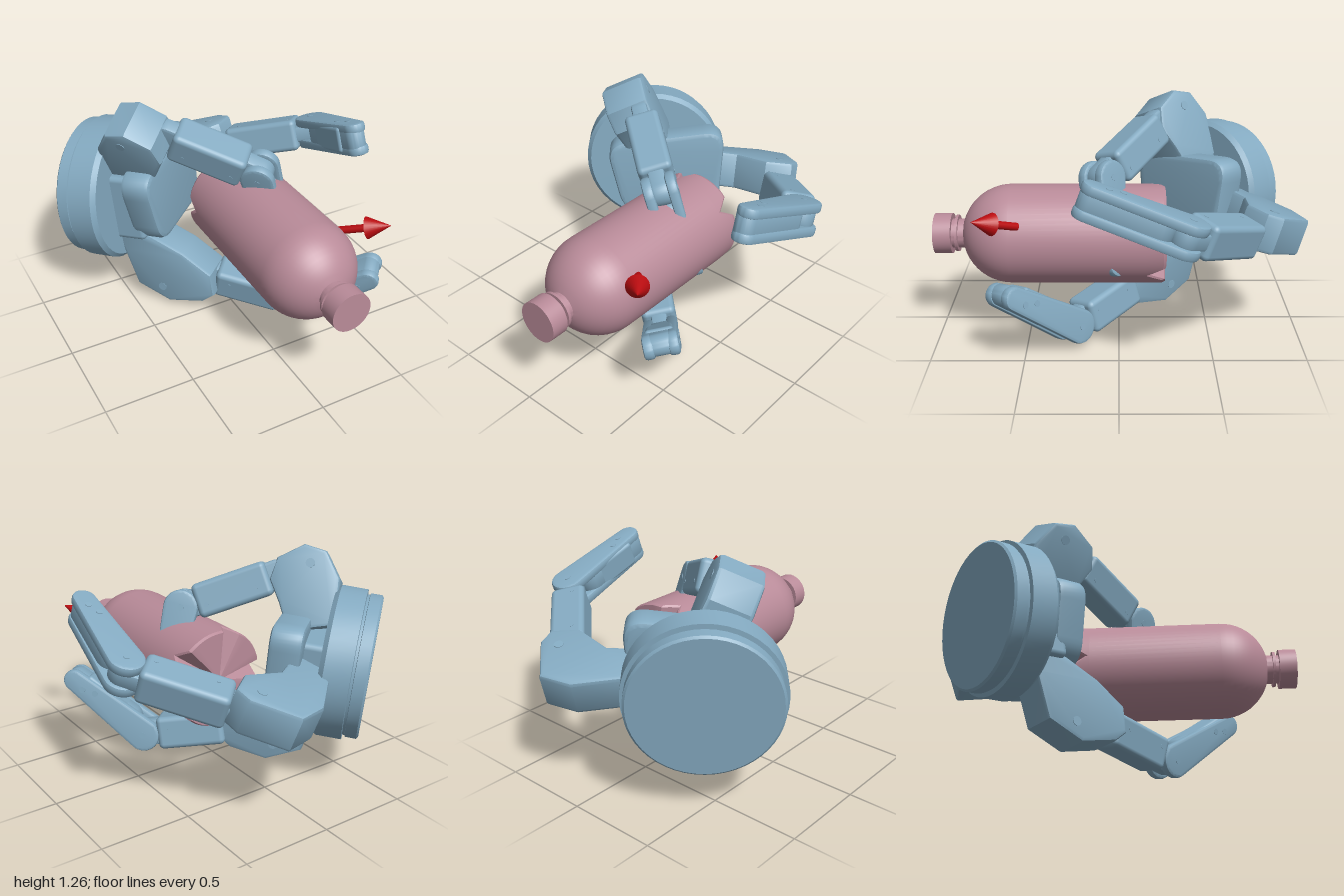
import * as THREE from 'three';
import { toCreasedNormals } from 'three/addons/utils/BufferGeometryUtils.js';
import { RoundedBoxGeometry } from 'three/addons/geometries/RoundedBoxGeometry.js';

const blue = new THREE.MeshStandardMaterial({ color: 0x84aac1 });
const pink = new THREE.MeshStandardMaterial({ color: 0xb98b99 });
const red = new THREE.MeshStandardMaterial({ color: 0xbb0c10 });
const V = (x, y, z) => new THREE.Vector3(x, y, z);
const pts = (list) => list.map(([x, y]) => new THREE.Vector2(x, y));

function add(parent, name, geometry, material = blue) {
  const mesh = new THREE.Mesh(geometry, material);
  mesh.name = name;
  parent.add(mesh);
  return mesh;
}

// Bevelled slab of a flat shape, centred on z = 0
function slab(shape, width, bevel = 0.015) {
  const g = new THREE.ExtrudeGeometry(shape, {
    depth: width - 2 * bevel, bevelThickness: bevel, bevelSize: bevel,
    bevelOffset: -bevel, bevelSegments: 2, curveSegments: 10,
  });
  g.translate(0, 0, -width / 2 + bevel);
  return toCreasedNormals(g, 0.5);
}

// Outline around two circles of radius r1 and r2, a distance apart on x
function taperShape(length, r1, r2) {
  const s = new THREE.Shape();
  const a = Math.acos((r1 - r2) / length);
  s.absarc(0, 0, r1, a, 2 * Math.PI - a, false);
  s.absarc(length, 0, r2, -a, a, false);
  return s;
}

// Closed outline through corner points, each corner rounded off
function roundedShape(corners, radius) {
  const c = pts(corners);
  const s = new THREE.Shape();
  c.forEach((p, i) => {
    const toward = (q) => p.clone().add(q.clone().sub(p).setLength(radius));
    const a = toward(c[(i + c.length - 1) % c.length]);
    const b = toward(c[(i + 1) % c.length]);
    if (i === 0) s.moveTo(a.x, a.y);
    else s.lineTo(a.x, a.y);
    s.quadraticCurveTo(p.x, p.y, b.x, b.y);
  });
  return s;
}

function pin(parent, name, x, y, r, width) {
  const g = new THREE.CylinderGeometry(r, r, width, 16);
  g.rotateX(Math.PI / 2);
  add(parent, name, g).position.set(x, y, 0);
}

// Group at p whose x axis points to q and whose z axis is the hinge axis
function linkGroup(name, p, q, hinge) {
  const g = new THREE.Group();
  g.name = name;
  const x = q.clone().sub(p).normalize();
  g.quaternion.setFromRotationMatrix(
    new THREE.Matrix4().makeBasis(x, hinge.clone().cross(x), hinge));
  g.position.copy(p);
  return g;
}

// Middle and tip links of a finger; +y of each link faces the grip
function makeFinger(name, knuckle, joint, tip) {
  const finger = new THREE.Group();
  finger.name = name;
  const hinge = joint.clone().sub(knuckle).cross(tip.clone().sub(joint)).normalize();

  const mid = linkGroup('middleLink', knuckle, joint, hinge);
  const len = knuckle.distanceTo(joint);
  add(mid, 'hingeLug', slab(taperShape(len, 0.08, 0.075), 0.09));
  add(mid, 'linkBody', new RoundedBoxGeometry(len - 0.13, 0.19, 0.19, 3, 0.03))
    .position.x = len / 2 - 0.02;
  for (const x of [0.13, len - 0.14]) pin(mid, 'linkScrew', x, 0.03, 0.012, 0.194);
  finger.add(mid);

  const end = linkGroup('tipLink', joint, tip, hinge);
  const tl = joint.distanceTo(tip);
  for (const side of [-1, 1]) {
    add(end, 'tipCheek', slab(taperShape(tl, 0.095, 0.062), 0.055)).position.z = side * 0.064;
  }
  add(end, 'tipCore', slab(taperShape(tl - 0.13, 0.078, 0.057), 0.12)).position.set(0.13, 0.005, 0);
  add(end, 'tipPad', new RoundedBoxGeometry(tl - 0.16, 0.05, 0.15, 2, 0.02))
    .position.set(tl / 2 + 0.03, 0.055, 0);
  for (const [x, y] of [[0, 0], [tl * 0.72, 0.02], [tl * 0.86, -0.01]]) {
    pin(end, 'tipScrew', x, y, 0.018, 0.188);
  }
  finger.add(end);
  return finger;
}

// Knuckle block: outline given as distance outwards and forwards from the wrist
function makeKnuckle(name, outline, angle, lean, position, width) {
  const g = new THREE.Group();
  g.name = name;
  const out = V(Math.cos(angle), Math.sin(angle), 0);
  const hinge = out.clone().cross(V(0, Math.sin(lean), Math.cos(lean))).normalize();
  g.quaternion.setFromRotationMatrix(
    new THREE.Matrix4().makeBasis(out, hinge.clone().cross(out), hinge));
  g.position.copy(position);
  add(g, 'knuckleBlock', slab(new THREE.Shape(pts(outline)), width, 0.02));
  const [ex, ey] = outline[3];
  pin(g, 'knucklePin', ex - 0.1, ey - 0.04, 0.025, width + 0.006);
  return g;
}

function makeHand() {
  const hand = new THREE.Group();
  hand.name = 'hand';
  hand.position.set(-0.56, 0.62, -0.65);
  hand.rotation.y = 0.72;

  const palm = new THREE.Group();
  palm.name = 'palm';
  palm.rotation.x = -0.1;
  hand.add(palm);

  // Wrist disc: a smaller back plate, a groove and a wide front rim
  const disc = new THREE.LatheGeometry(pts([
    [0, -0.025], [0.38, -0.025], [0.392, -0.015], [0.392, 0.045], [0.384, 0.047], [0.384, 0.06],
    [0.41, 0.062], [0.412, 0.2], [0.39, 0.225], [0, 0.225]]), 48);
  disc.rotateX(Math.PI / 2);
  add(palm, 'wristDisc', toCreasedNormals(disc, 0.5));

  // Hub and rounded pad
  add(palm, 'palmHub', new RoundedBoxGeometry(0.46, 0.4, 0.2, 2, 0.03))
    .position.set(0.03, -0.03, 0.29);
  const pad = roundedShape([[-0.18, -0.22], [0.38, -0.2], [0.41, 0.32], [-0.29, 0.23]], 0.13);
  add(palm, 'palmPad', slab(pad, 0.17, 0.025)).position.set(0, -0.03, 0.405);

  // Three knuckles
  hand.add(makeKnuckle('sideKnuckle', [[0.3, 0.2], [0.64, 0.19], [0.8, 0.27], [0.82, 0.53],
    [0.77, 0.61], [0.62, 0.6], [0.47, 0.44], [0.25, 0.4]], -0.1, 0.33, V(0, -0.05, 0), 0.21));
  hand.add(makeKnuckle('upperKnuckle', [[0.2, 0.17], [0.45, 0.17], [0.59, 0.25], [0.62, 0.37],
    [0.54, 0.51], [0.42, 0.54], [0.3, 0.48], [0.15, 0.42]], 1.99, 0, V(0.06, 0.02, 0), 0.25));
  hand.add(makeKnuckle('lowerKnuckle', [[0.15, 0.2], [0.3, 0.25], [0.53, 0.33], [0.61, 0.53],
    [0.56, 0.74], [0.5, 0.81], [0.36, 0.79], [0.25, 0.62], [0.17, 0.42]],
    -Math.PI / 2, 0, V(-0.06, 0, 0), 0.22));
  return hand;
}

function makeBottle() {
  const R = 0.27;
  const profile = [[0, -0.25], [0.09, -0.25], [0.18, -0.25], [R - 0.008, -0.25], [R, -0.235], [R, -0.14]];
  for (let i = 0; i <= 10; i++) {
    const a = (i / 10) * 1.27;
    profile.push([R * Math.cos(a), 0.58 + R * Math.sin(a)]);
  }
  // Neck, collar and cap
  profile.push([0.08, 0.87], [0.1, 0.87], [0.1, 0.885], [0.08, 0.885], [0.08, 0.905],
    [0.11, 0.905], [0.11, 1], [0, 1]);
  const g = new THREE.LatheGeometry(pts(profile), 60);
  g.rotateX(Math.PI / 2);
  // Press five wedge-shaped grooves into the base
  const p = g.attributes.position;
  const step = (Math.PI * 2) / 5;
  for (let i = 0; i < p.count; i++) {
    if (p.getZ(i) > -0.2) continue;
    const a = Math.atan2(p.getY(i), p.getX(i)) - step / 2;
    const off = Math.abs(a - Math.round(a / step) * step);
    const depth = Math.max(0, 1 - off / 0.22) * Math.hypot(p.getX(i), p.getY(i)) / R;
    p.setZ(i, p.getZ(i) + 0.09 * depth);
  }
  const bottle = new THREE.Group();
  bottle.name = 'bottle';
  bottle.position.set(0.125, 0.573, 0);
  add(bottle, 'bottleBody', toCreasedNormals(g, 0.4), pink);
  return bottle;
}

// Pointer arrow standing on the bottle wall
function makeArrow(from, to) {
  const arrow = new THREE.Group();
  arrow.name = 'arrow';
  const len = from.distanceTo(to);
  add(arrow, 'arrowShaft', new THREE.CylinderGeometry(0.021, 0.021, len - 0.13, 20), red)
    .position.y = (len - 0.13) / 2;
  add(arrow, 'arrowHead', new THREE.ConeGeometry(0.06, 0.13, 24), red).position.y = len - 0.065;
  arrow.position.copy(from);
  arrow.quaternion.setFromUnitVectors(V(0, 1, 0), to.clone().sub(from).normalize());
  return arrow;
}

export function createModel() {
  const model = new THREE.Group();
  model.name = 'gripperWithBottle';
  model.add(makeHand());
  model.add(makeFinger('sideFinger', V(0.33, 0.64, -0.7), V(0.74, 0.8, -0.32), V(0.715, 0.97, 0.14)));
  model.add(makeFinger('upperFinger', V(-0.28, 1.08, -0.22), V(0.13, 0.89, 0.09), V(0.275, 0.45, 0.06)));
  model.add(makeFinger('lowerFinger', V(-0.09, 0.18, -0.08), V(0.29, 0.1, 0.26), V(0.55, 0.395, 0.58)));
  model.add(makeBottle());
  model.add(makeArrow(V(0.355, 0.7, 0.53), V(0.535, 0.795, 0.735)));
  return model;
}
